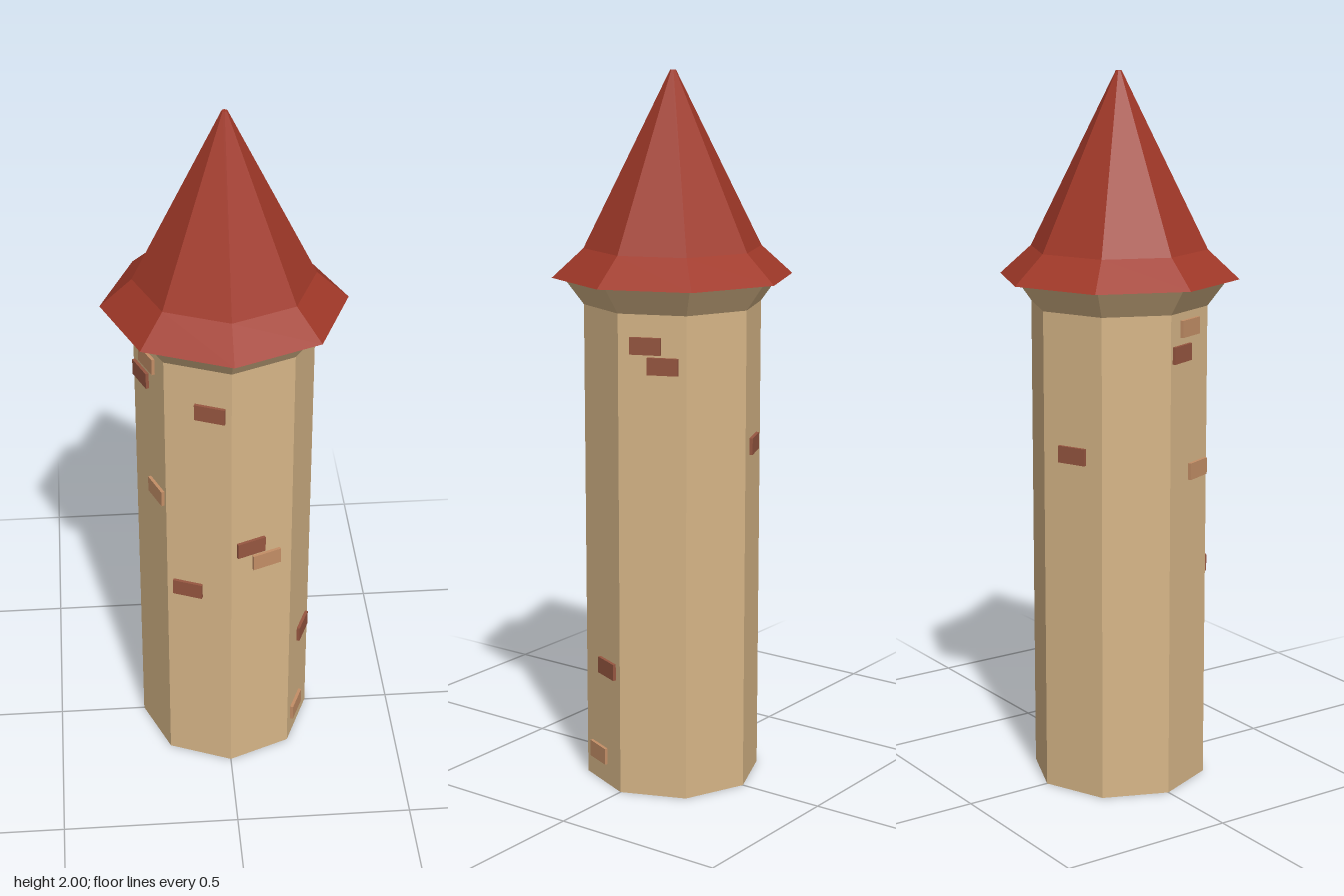
import * as THREE from 'three';

const SIDES = 8;
const WALL_RADIUS = 0.248;
const APOTHEM = WALL_RADIUS * Math.cos(Math.PI / SIDES);

const material = (color) => new THREE.MeshStandardMaterial({ color, flatShading: true });

// Eight-sided solid turned from [radius, height] pairs, bottom to top
function octagonal(name, profile, mat) {
  const points = profile.map(([r, y]) => new THREE.Vector2(r, y));
  const mesh = new THREE.Mesh(new THREE.LatheGeometry(points, SIDES), mat);
  mesh.name = name;
  return mesh;
}

export function createModel() {
  const tower = new THREE.Group();
  tower.name = 'tower';

  const stone = material(0xd6b587);
  const tile = material(0xa03828);
  const darkBrick = material(0x965640);
  const paleBrick = material(0xc38e66);

  // Shaft with a flared cornice
  tower.add(octagonal('wall', [[0, 0], [WALL_RADIUS, 0], [WALL_RADIUS, 1.365], [0.305, 1.442], [0, 1.442]], stone));

  // Spire with kicked-out eaves and a tiny flat tip
  tower.add(octagonal('roof', [[0, 1.44], [0.336, 1.44], [0.248, 1.52], [0.008, 2], [0, 2]], tile));

  // Raised bricks: wall direction in degrees from the front, offset along the wall, height, material
  const bricks = new THREE.Group();
  bricks.name = 'bricks';
  const brickGeometry = new THREE.BoxGeometry(0.086, 0.047, 0.03);
  [
    [-22.5, 0.035, 1.23, darkBrick],
    [-22.5, -0.033, 0.623, darkBrick],
    [22.5, -0.035, 0.78, darkBrick],
    [22.5, 0.014, 0.723, paleBrick],
    [67.5, 0.029, 0.348, darkBrick],
    [67.5, -0.022, 0.082, paleBrick],
    [112.5, -0.018, 1.28, darkBrick],
    [112.5, 0.030, 1.226, darkBrick],
    [-157.5, 0, 0.977, darkBrick],
    [-67.5, -0.043, 1.253, darkBrick],
    [-67.5, -0.003, 1.32, paleBrick],
    [-67.5, 0.042, 0.915, paleBrick],
  ].forEach(([degrees, along, y, mat]) => {
    const brick = new THREE.Mesh(brickGeometry, mat);
    brick.name = 'brick';
    brick.position.set(along, y, APOTHEM - 0.006);
    const a = THREE.MathUtils.degToRad(degrees);
    brick.position.applyAxisAngle(new THREE.Vector3(0, 1, 0), a);
    brick.rotation.y = a;
    bricks.add(brick);
  });
  tower.add(bricks);

  return tower;
}
